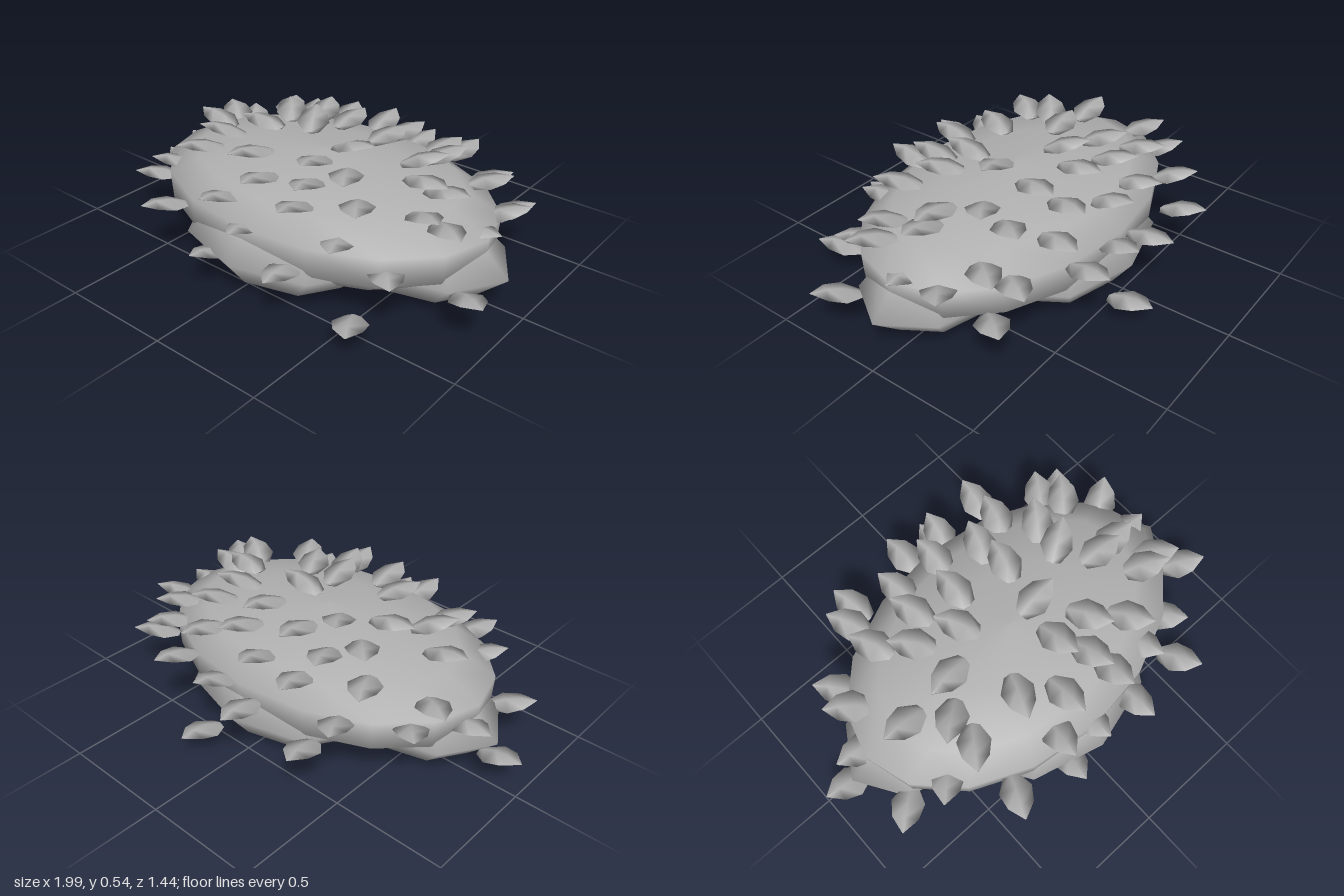
import * as THREE from 'three';

// Centre and radii of the main crown, and its profile as radius share and height
const CROWN = { x: 0.035, z: 0.04, rx: 0.825, rz: 0.55 };
const PROFILE = [
  [0, 0.03], [0.45, 0.05], [0.79, 0.1], [0.965, 0.19],
  [0.975, 0.315], [0.78, 0.395], [0.43, 0.45], [0, 0.467],
];

// Leaves resting on the crown: x, z
const CROWN_LEAVES = [
  [-0.2, -0.42], [0.01, -0.42], [0.19, -0.33], [0.35, -0.4], [0.45, -0.24], [0.44, -0.1],
  [0.2, -0.18], [-0.04, -0.23], [-0.14, -0.09], [-0.23, -0.28], [-0.45, -0.29], [-0.33, -0.16],
  [-0.67, -0.27], [-0.69, -0.16], [-0.31, 0.05], [-0.57, 0.07], [-0.42, 0.19], [-0.42, 0.33],
  [-0.15, 0.3], [0.18, 0.04], [0.13, 0.23], [0.3, 0.24], [0.44, 0.35], [0.23, 0.47],
  [0.0, 0.42], [0.55, 0.05], [0.64, 0.04], [0.66, 0.22], [0.75, 0.2], [0.65, -0.28], [0.2, 0.36],
];

// Leaves around the rim: x, y, z
const RIM_LEAVES = [
  [-0.89, 0.13, 0.03], [-0.77, 0.19, 0.29], [-0.4, 0.27, 0.57], [-0.11, 0.16, 0.6],
  [0.04, 0.31, 0.55], [0.27, 0.22, 0.6], [0.59, 0.11, 0.58], [0.9, 0.19, 0.27],
  [0.43, 0.34, 0.45], [0.63, 0.25, 0.41], [-0.58, 0.33, 0.34], [-0.12, 0.38, 0.52],
  [-0.77, 0.25, -0.02], [0.77, 0.32, 0.01], [0.79, 0.33, -0.17], [0.72, 0.23, -0.37],
  [0.6, 0.34, -0.38], [0.36, 0.34, -0.55], [0.13, 0.32, -0.54], [0.15, 0.09, -0.62],
  [-0.05, 0.28, -0.58], [-0.37, 0.24, -0.56], [-0.45, 0.34, -0.46],
];

// Thin closed leaf pointing along +z; each row is z, half width, ridge height
function leafGeometry() {
  const rows = [
    [-0.1, 0.002, -0.014], [-0.093, 0.032, -0.01], [-0.025, 0.072, 0.014],
    [0.045, 0.056, 0.02], [0.108, 0.002, 0.01],
  ];
  const pos = [], index = [];
  rows.forEach(([z, w, y], i) => {
    const edge = y - w * 0.28;
    pos.push(-w, edge, z, 0, y, z, w, edge, z, 0, y - w * 0.45, z);
    if (i === 0) return;
    for (let k = 0; k < 4; k++) {
      const a = (i - 1) * 4 + k, b = (i - 1) * 4 + ((k + 1) % 4);
      index.push(a, a + 4, b, b, a + 4, b + 4);
    }
  });
  const geo = new THREE.BufferGeometry();
  geo.setAttribute('position', new THREE.Float32BufferAttribute(pos, 3));
  geo.setIndex(index);
  geo.computeVertexNormals();
  return geo;
}

export function createModel() {
  const group = new THREE.Group();
  group.name = 'bush';
  const foliage = new THREE.MeshStandardMaterial({ color: 0xb0b0b0, side: THREE.DoubleSide });
  foliage.name = 'foliage grey';

  const add = (name, geo, x, y, z, parent = group) => {
    const mesh = new THREE.Mesh(geo, foliage);
    mesh.name = name;
    mesh.position.set(x, y, z);
    parent.add(mesh);
    return mesh;
  };

  // Broad crown with a full underside
  const profile = PROFILE.map(([r, y]) => new THREE.Vector2(r, y));
  add('crown', new THREE.LatheGeometry(profile, 16).scale(CROWN.rx, 1, CROWN.rz), CROWN.x, 0, CROWN.z);

  // Four low-poly lobes below it
  const lobe = new THREE.SphereGeometry(1, 8, 4).scale(0.46, 0.17, 0.3);
  add('leftLobe', lobe, 0.48, 0.17, 0.04);
  add('rightLobe', lobe, -0.41, 0.17, 0.04);
  add('frontLobe', lobe, 0.035, 0.17, 0.345);
  add('backLobe', lobe, 0.035, 0.17, -0.255);

  // Leaves point away from the crown's surface and tilt slightly up
  const leafGeo = leafGeometry();
  const leaves = new THREE.Group();
  leaves.name = 'leaves';
  group.add(leaves);
  let count = 0;
  const addLeaf = (x, y, z) => {
    const n = count++;
    const turn = Math.atan2((x - CROWN.x) / CROWN.rx ** 2, (z - CROWN.z) / CROWN.rz ** 2);
    add('leaf', leafGeo, x, y, z, leaves)
      .rotation.set(-0.06 - 0.08 * Math.sin(n * 1.7), turn + 0.1 * Math.sin(n * 2.4), 0, 'YXZ');
  };
  for (const [x, z] of CROWN_LEAVES) {
    const d = ((x - CROWN.x) / CROWN.rx) ** 2 + ((z - CROWN.z) / CROWN.rz) ** 2;
    addLeaf(x, 0.315 + 0.205 * Math.sqrt(Math.max(0, 1 - d)), z);
  }
  for (const [x, y, z] of RIM_LEAVES) addLeaf(x, y, z);

  return group;
}
